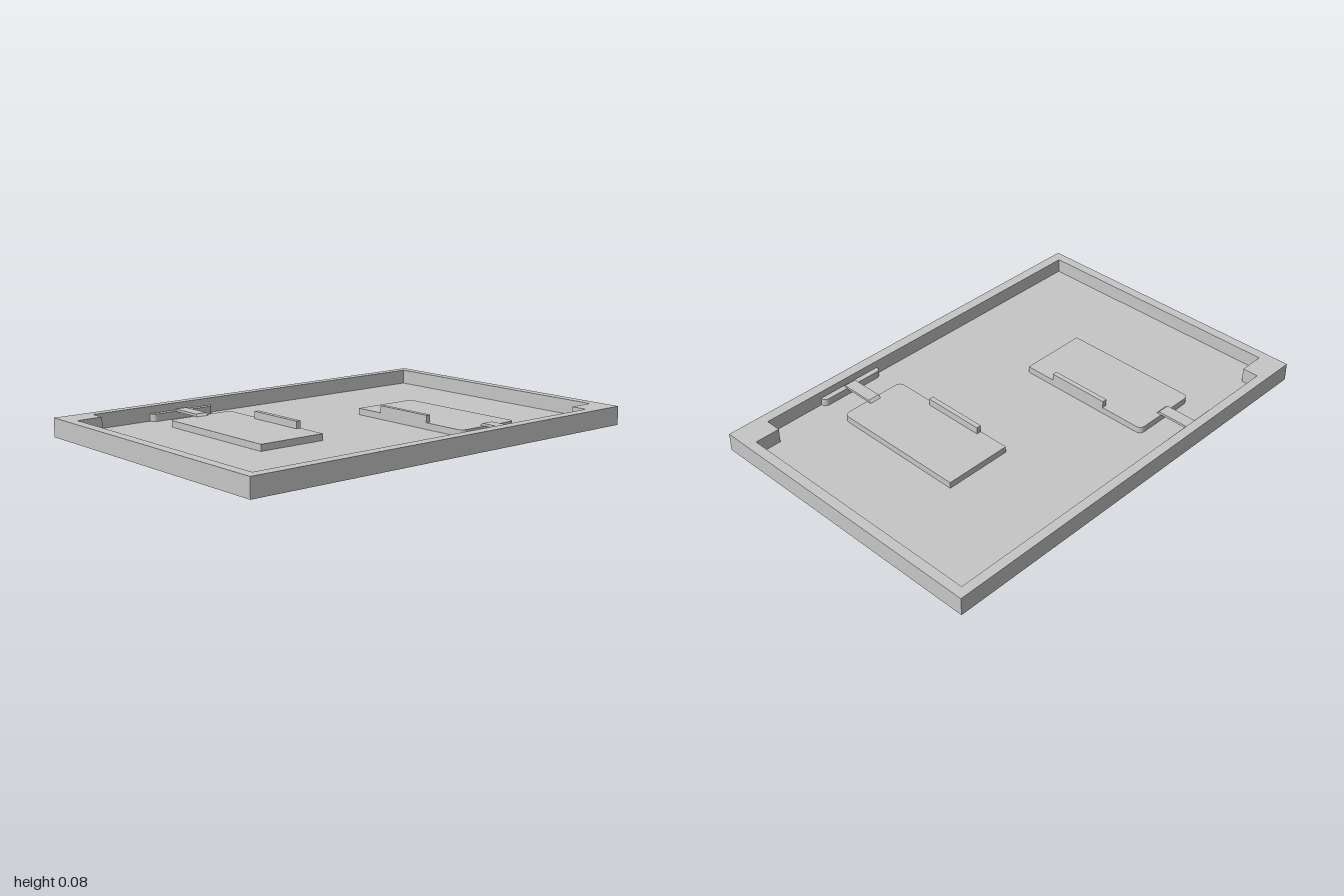
import * as THREE from 'three';

const grey = new THREE.MeshStandardMaterial({ color: 0xc7c7c7 });
grey.name = 'plain grey';

const FLOOR = 0.017, RIM = 0.083, PLATE = 0.046;

// Outline from [x, z, radius] corners; radius rounds that corner
function outline(corners, Type = THREE.Shape) {
  const s = new Type();
  const n = corners.length;
  corners.forEach(([x, z, r = 0], i) => {
    const p = new THREE.Vector2(x, -z);
    const toward = ([a, b]) => p.clone().add(new THREE.Vector2(a, -b).sub(p).setLength(r));
    const a = toward(corners[(i + n - 1) % n]);
    const b = toward(corners[(i + 1) % n]);
    if (i === 0) s.moveTo(a.x, a.y); else s.lineTo(a.x, a.y);
    if (r > 0) s.quadraticCurveTo(p.x, p.y, b.x, b.y);
  });
  s.closePath();
  return s;
}

// Flat slab standing from y0 to y1
function slab(name, shape, y0, y1) {
  const g = new THREE.ExtrudeGeometry(shape, { depth: y1 - y0, bevelEnabled: false, curveSegments: 6 });
  g.rotateX(-Math.PI / 2).translate(0, y0, 0);
  const m = new THREE.Mesh(g, grey);
  m.name = name;
  return m;
}

// Plate with its rib, wall lip and bridging clip
function station() {
  const g = new THREE.Group();
  const x0 = -0.5545, x1 = -0.2375;
  g.add(slab('plate', outline([[x0, -0.484, 0.028], [x1, -0.484, 0.028], [x1, 0.16], [x0, 0.16]]), FLOOR, PLATE));
  g.add(slab('rib', outline([[-0.26, -0.273], [x1, -0.273], [x1, 0.015], [-0.26, 0.015]]), PLATE, 0.078));
  g.add(slab('wallLip', outline([[x0, -0.6375], [x1, -0.6375], [x1, -0.612, 0.025], [x0, -0.612, 0.025]]), FLOOR, 0.05));

  // Clip profile in z and y with bevelled ends, swept along x
  const profile = new THREE.Shape([[0.6375, 0.046], [0.461, 0.046], [0.473, 0.057], [0.628, 0.057]]
    .map(([a, b]) => new THREE.Vector2(a, b)));
  const clipGeo = new THREE.ExtrudeGeometry(profile, { depth: 0.057, bevelEnabled: false });
  clipGeo.rotateY(Math.PI / 2).translate(-0.428, 0, 0);
  const clip = new THREE.Mesh(clipGeo, grey);
  clip.name = 'clip';
  g.add(clip);
  return g;
}

export function createModel() {
  const model = new THREE.Group();
  model.name = 'tray';

  // Base floor
  const rect = [[-1, 0.6825], [1, 0.6825], [1, -0.6825], [-1, -0.6825]];
  model.add(slab('floor', outline(rect), 0, FLOOR));

  // Rim with solid blocks in two opposite corners; the opening runs clockwise
  const rim = outline(rect);
  rim.holes.push(outline([
    [-0.955, -0.566], [-0.838, -0.566], [-0.838, -0.64], [0.955, -0.64],
    [0.955, 0.561], [0.838, 0.561], [0.838, 0.635], [-0.955, 0.635],
  ], THREE.Path));
  model.add(slab('rim', rim, FLOOR, RIM));

  // Two matching stations, the second turned half round
  const back = station();
  back.name = 'backStation';
  back.position.z = -0.0025;
  const front = station();
  front.name = 'frontStation';
  front.rotation.y = Math.PI;
  front.position.copy(back.position);
  model.add(back, front);
  return model;
}
